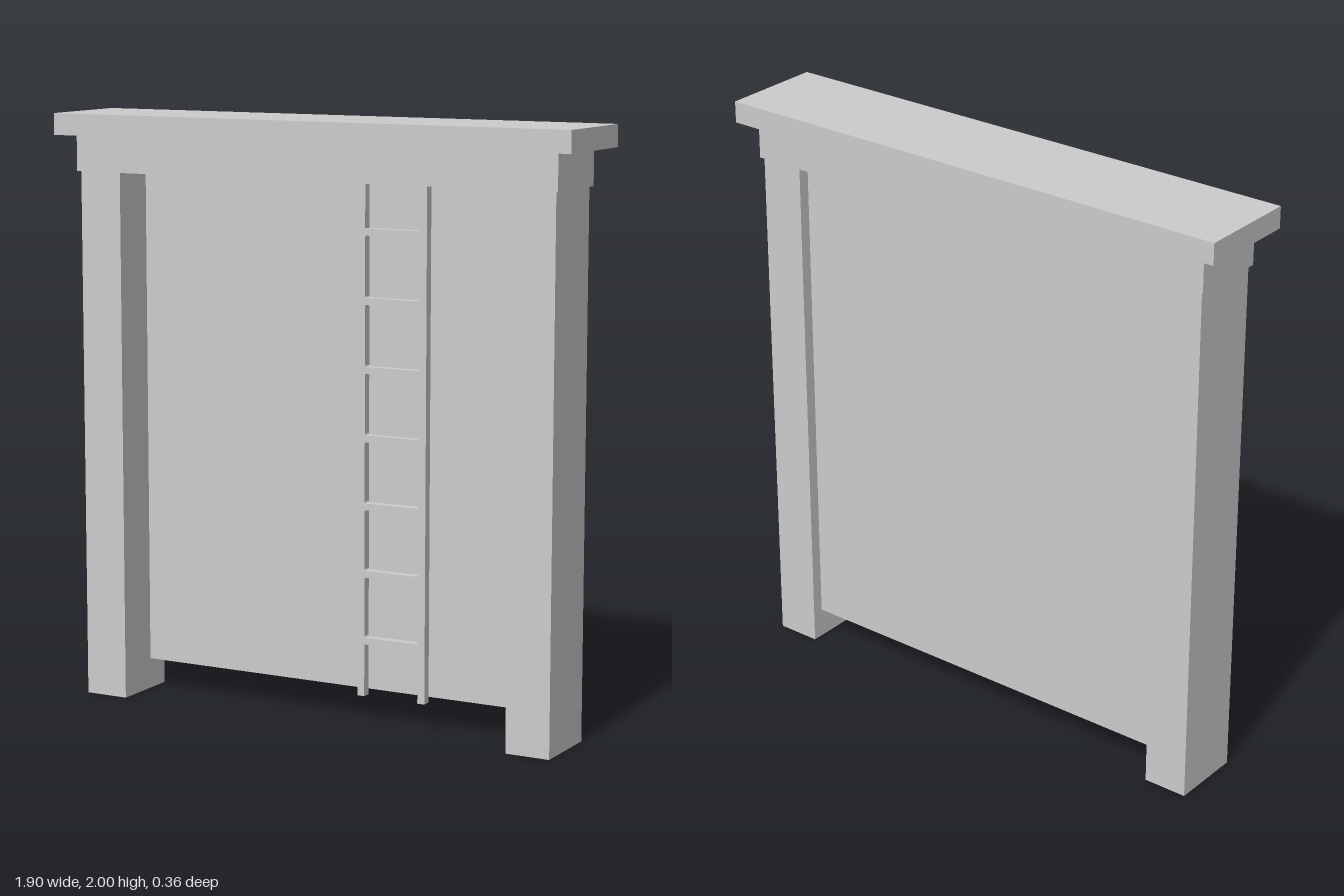
import * as THREE from 'three';

export function createModel() {
  const model = new THREE.Group();
  const grey = new THREE.MeshStandardMaterial({ color: 0xcccccc });
  grey.name = 'light grey';

  // Box given by its extents along each axis
  function block(name, [x0, x1], [y0, y1], [z0, z1]) {
    const mesh = new THREE.Mesh(new THREE.BoxGeometry(x1 - x0, y1 - y0, z1 - z0), grey);
    mesh.position.set((x0 + x1) / 2, (y0 + y1) / 2, (z0 + z1) / 2);
    mesh.name = name;
    model.add(mesh);
  }

  const beamBottom = 1.805;
  const panelBottom = 0.105;

  // Two-step lintel
  block('capSlab', [-0.948, 0.948], [1.927, 2], [-0.178, 0.178]);
  block('lintel', [-0.886, 0.886], [beamBottom, 1.927], [-0.135, 0.135]);

  // Side posts
  block('rightPost', [-0.876, -0.722], [0, beamBottom], [-0.125, 0.125]);
  block('leftPost', [0.722, 0.876], [0, beamBottom], [-0.125, 0.125]);

  // Wall panel, set towards the back and raised off the ground
  block('wallPanel', [-0.722, 0.722], [panelBottom, beamBottom], [-0.085, -0.035]);

  // Ladder cut from one plate: outer rails, open ends, softly rounded gaps
  const xL = 0.15, xR = 0.398, inL = 0.175, inR = 0.372;
  const rungs = Array.from({ length: 7 }, (_, i) => 0.292 + i * 0.2252);
  const half = 0.0115;
  const low = rungs[0] - half, high = rungs[6] + half;
  const plate = new THREE.Shape([
    [xL, panelBottom], [inL, panelBottom], [inL, low], [inR, low], [inR, panelBottom], [xR, panelBottom],
    [xR, beamBottom], [inR, beamBottom], [inR, high], [inL, high], [inL, beamBottom], [xL, beamBottom],
  ].map(([x, y]) => new THREE.Vector2(x, y)));

  for (let i = 0; i < 6; i++) {
    const y0 = rungs[i] + half, y1 = rungs[i + 1] - half, r = 0.006;
    const gap = new THREE.Path();
    gap.moveTo(inL + r, y0);
    gap.lineTo(inR - r, y0);
    gap.quadraticCurveTo(inR, y0, inR, y0 + r);
    gap.lineTo(inR, y1 - r);
    gap.quadraticCurveTo(inR, y1, inR - r, y1);
    gap.lineTo(inL + r, y1);
    gap.quadraticCurveTo(inL, y1, inL, y1 - r);
    gap.lineTo(inL, y0 + r);
    gap.quadraticCurveTo(inL, y0, inL + r, y0);
    plate.holes.push(gap);
  }
  const ladder = new THREE.Mesh(
    new THREE.ExtrudeGeometry(plate, { depth: 0.03, bevelEnabled: false, curveSegments: 3 }), grey);
  ladder.position.z = 0.032;
  ladder.name = 'ladder';
  model.add(ladder);

  return model;
}
